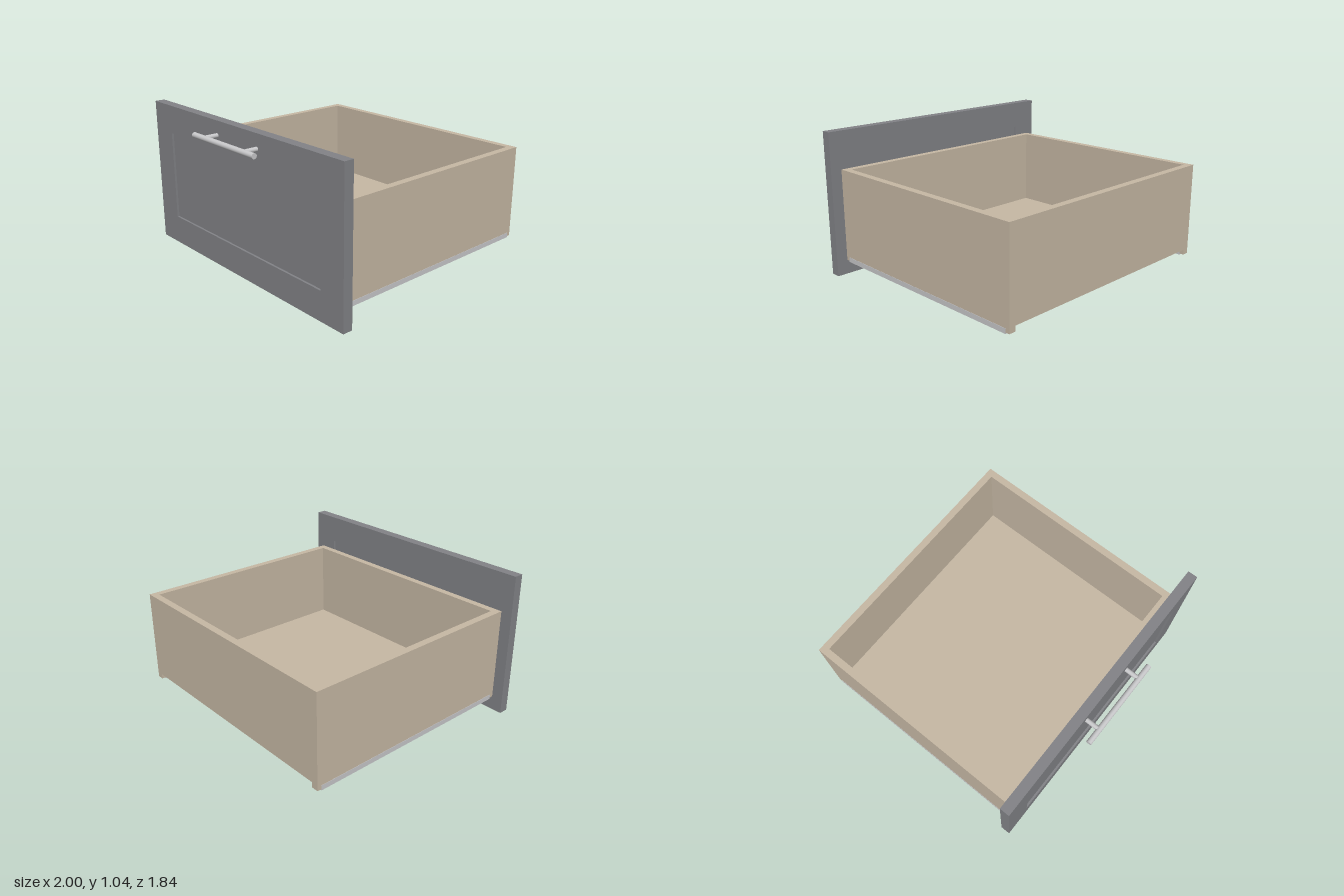
import * as THREE from 'three';

const material = (name, color) => {
  const m = new THREE.MeshStandardMaterial({ color });
  m.name = name;
  return m;
};

export function createModel() {
  const paint = material('grey paint', 0x828387);
  const wood = material('beige wood', 0xc6b8a4);
  const metal = material('light metal', 0xc8c8ca);
  const model = new THREE.Group();
  model.name = 'drawer';

  const add = (name, geometry, mat) => {
    const mesh = new THREE.Mesh(geometry, mat);
    mesh.name = name;
    model.add(mesh);
    return mesh;
  };
  // Box given by its lower and upper corners
  const box = (name, mat, [x0, y0, z0], [x1, y1, z1]) =>
    add(name, new THREE.BoxGeometry(x1 - x0, y1 - y0, z1 - z0), mat)
      .position.set((x0 + x1) / 2, (y0 + y1) / 2, (z0 + z1) / 2);

  // Front: a frame around a panel recessed on both faces
  const rect = (shape, x, y0, y1) =>
    shape.moveTo(-x, y0).lineTo(x, y0).lineTo(x, y1).lineTo(-x, y1).closePath();
  const frame = rect(new THREE.Shape(), 1, 0, 1.045);
  frame.holes.push(rect(new THREE.Path(), 0.8, 0.205, 0.843));
  add('frontFrame', new THREE.ExtrudeGeometry(frame, { depth: 0.07, bevelEnabled: false }), paint)
    .position.z = 0.732;
  box('frontPanel', paint, [-0.8, 0.205, 0.747], [0.8, 0.843, 0.787]);

  // Open box, with side walls reaching below the floor
  const W = 0.923, T = 0.05, top = 0.775, back = -0.922, front = 0.723;
  const inner = W - T;
  box('backWall', wood, [-inner, 0.145, back], [inner, top, back + T]);
  box('innerFrontWall', wood, [-inner, 0.145, front - T], [inner, top, front]);
  box('floor', wood, [-inner, 0.145, back + T], [inner, 0.21, front - T]);

  for (const s of [-1, 1]) {
    const side = s > 0 ? 'left' : 'right';
    const xs = (a, b) => (s > 0 ? [a, b] : [-b, -a]);
    const [w0, w1] = xs(inner, W);
    box(`${side}Wall`, wood, [w0, 0.108, back], [w1, top, front]);
    // Runner let into the bottom edge of the wall
    const [r0, r1] = xs(inner - 0.002, W + 0.002);
    box(`${side}Runner`, metal, [r0, 0.1, -0.892], [r1, 0.135, 0.692]);
    // Handle post
    const post = add(`${side}HandlePost`, new THREE.CylinderGeometry(0.016, 0.016, 0.1, 24), metal);
    post.rotation.x = Math.PI / 2;
    post.position.set(s * 0.215, 0.943, 0.852);
  }

  // Handle bar
  const bar = add('handleBar', new THREE.CylinderGeometry(0.019, 0.019, 0.655, 32), metal);
  bar.rotation.z = Math.PI / 2;
  bar.position.set(0, 0.943, 0.903);

  return model;
}
